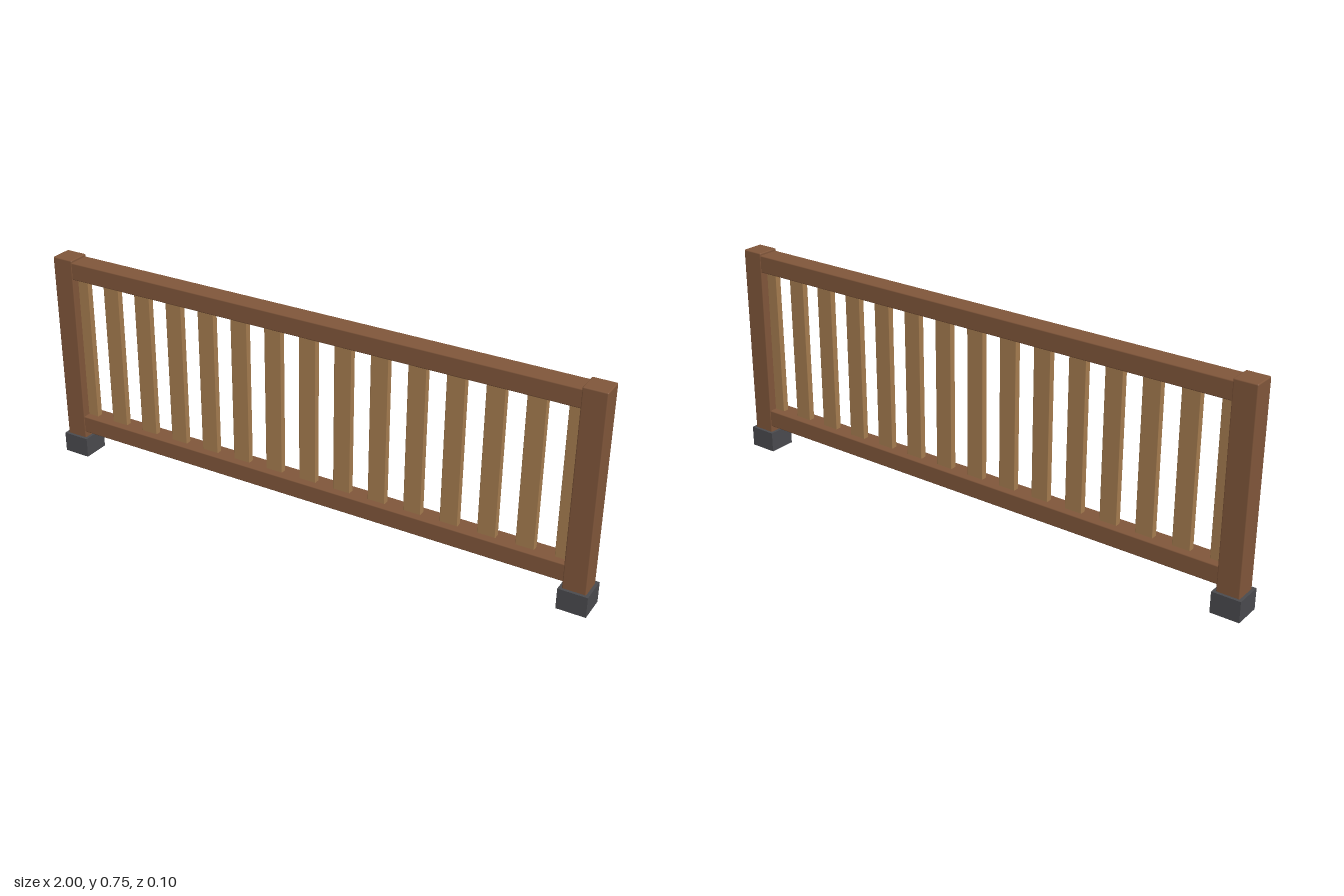
import * as THREE from 'three';
import { RoundedBoxGeometry } from 'three/addons/geometries/RoundedBoxGeometry.js';

function material(name, color) {
  const m = new THREE.MeshStandardMaterial({ color });
  m.name = name;
  return m;
}

export function createModel() {
  const frameWood = material('dark wood', 0x80563a);
  const balusterWood = material('light wood', 0xa57c4f);
  const footGrey = material('dark grey', 0x4a4a4e);

  const group = new THREE.Group();
  group.name = 'railing';

  function add(name, geometry, mat, x, y) {
    const mesh = new THREE.Mesh(geometry, mat);
    mesh.name = name;
    mesh.position.set(x, y, 0);
    group.add(mesh);
  }

  // End posts standing in square feet
  const post = new RoundedBoxGeometry(0.078, 0.692, 0.078, 2, 0.004);
  const foot = new THREE.BoxGeometry(0.098, 0.072, 0.098);
  for (const [side, s] of [['left', 1], ['right', -1]]) {
    add(side + 'Post', post, frameWood, s * 0.951, 0.406);
    add(side + 'Foot', foot, footGrey, s * 0.951, 0.036);
  }

  // Horizontal rails, ends let into the posts
  const rail = new RoundedBoxGeometry(1.86, 0.062, 0.075, 2, 0.004);
  add('topRail', rail, frameWood, 0, 0.713);
  add('bottomRail', rail, frameWood, 0, 0.125);

  // Evenly spaced flat balusters; the outer two are partly let into the posts
  const count = 15;
  const spacing = 0.1288;
  const baluster = new RoundedBoxGeometry(0.062, 0.55, 0.022, 2, 0.002);
  for (let i = 0; i < count; i++) {
    add('baluster' + (i + 1), baluster, balusterWood, (i - (count - 1) / 2) * spacing, 0.419);
  }

  return group;
}
